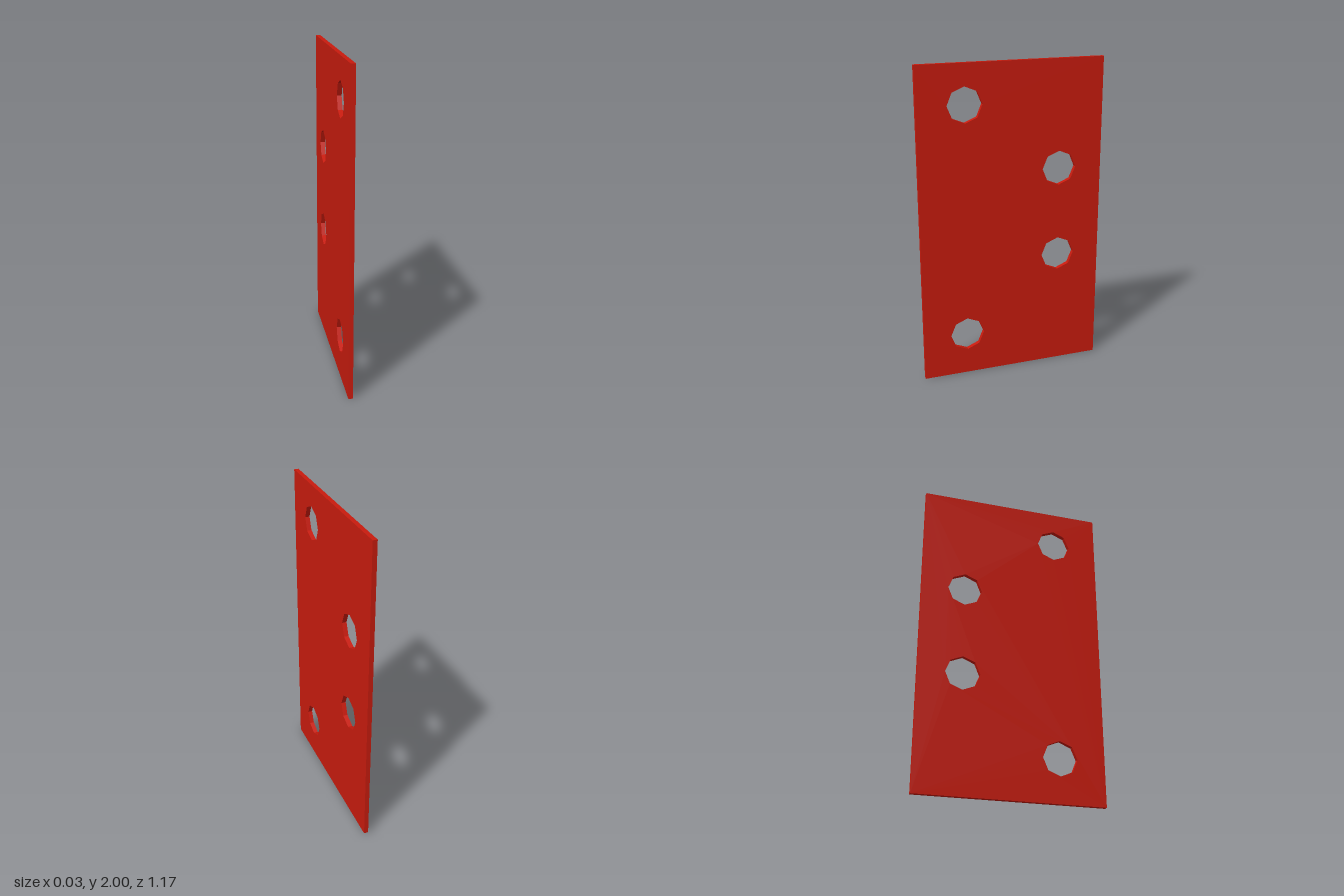
import * as THREE from 'three';

const HEIGHT = 2, WIDTH = 1.174, THICKNESS = 0.028, HOLE_RADIUS = 0.109, HOLE_SIDES = 8;

// Hole centres as [z, y]
const HOLES = [[0.293, 1.755], [-0.308, 1.324], [-0.308, 0.753], [0.302, 0.275]];

// Octagonal hole outline
function octagon(cx, cy) {
  const points = [];
  for (let i = 0; i < HOLE_SIDES; i++) {
    const a = -i / HOLE_SIDES * Math.PI * 2;
    points.push(new THREE.Vector2(cx + HOLE_RADIUS * Math.cos(a), cy + HOLE_RADIUS * Math.sin(a)));
  }
  return new THREE.Path(points);
}

export function createModel() {
  const group = new THREE.Group();
  group.name = 'perforatedPlate';

  // Flat rectangular plate, drawn with its width along -z once turned
  const w = WIDTH / 2;
  const outline = new THREE.Shape([
    new THREE.Vector2(-w, 0), new THREE.Vector2(w, 0),
    new THREE.Vector2(w, HEIGHT), new THREE.Vector2(-w, HEIGHT),
  ]);
  for (const [z, y] of HOLES) outline.holes.push(octagon(-z, y));

  const geometry = new THREE.ExtrudeGeometry(outline, { depth: THICKNESS, bevelEnabled: false });
  geometry.translate(0, 0, -THICKNESS / 2);
  geometry.rotateY(Math.PI / 2);

  const plate = new THREE.Mesh(geometry, new THREE.MeshStandardMaterial({ color: 0xc81b0e, flatShading: true }));
  plate.name = 'plate';
  group.add(plate);
  return group;
}
